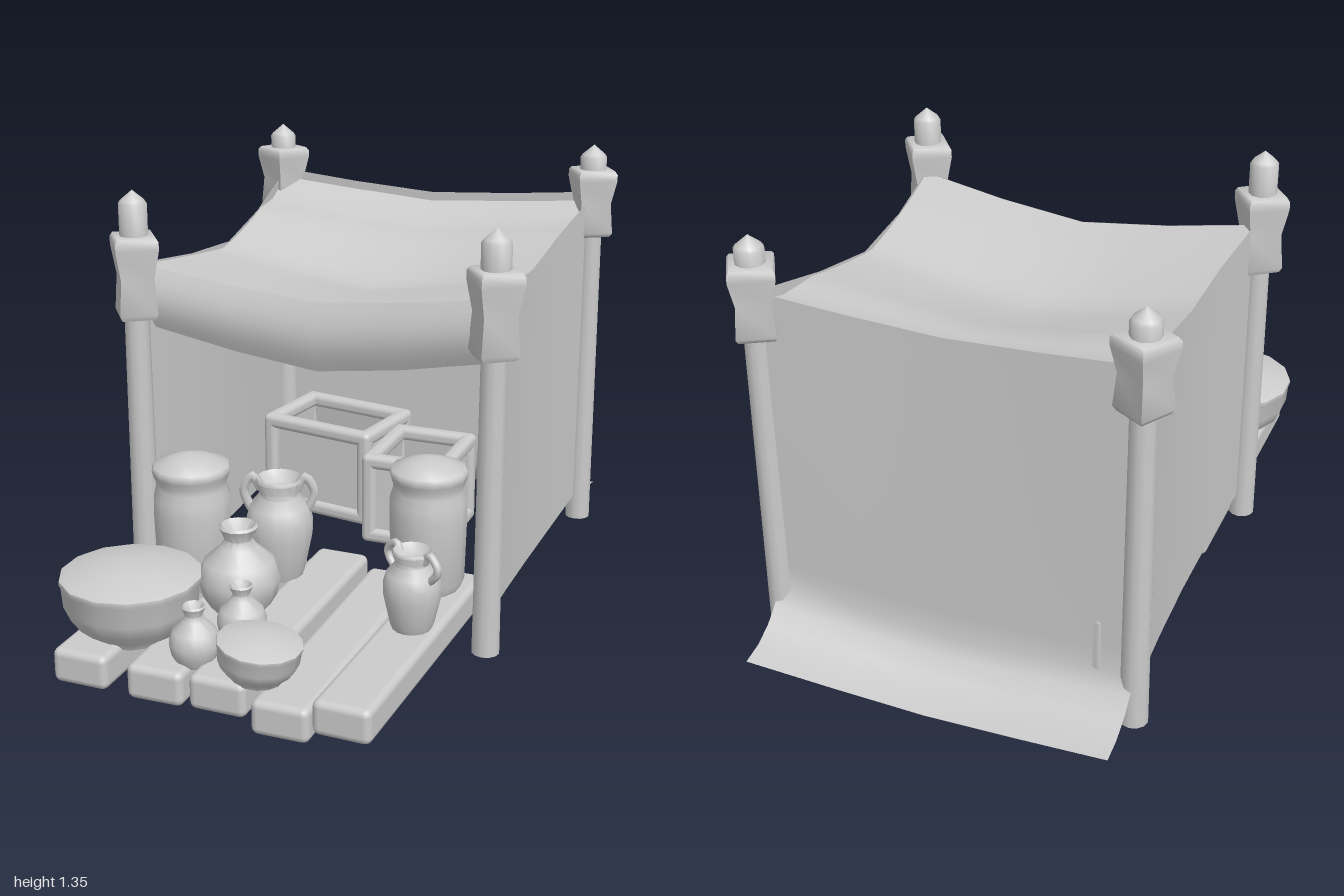
import * as THREE from 'three';
import { RoundedBoxGeometry } from 'three/addons/geometries/RoundedBoxGeometry.js';
import { toCreasedNormals } from 'three/addons/utils/BufferGeometryUtils.js';

const mat = new THREE.MeshStandardMaterial({ color: 0xcccccc });
const clothMat = new THREE.MeshStandardMaterial({ color: 0xcccccc, side: THREE.DoubleSide });

function add(parent, name, geo, x = 0, y = 0, z = 0, material = mat) {
  const m = new THREE.Mesh(geo, material);
  m.name = name;
  m.position.set(x, y, z);
  parent.add(m);
  return m;
}

function lathe(profile, sides, crease) {
  return toCreasedNormals(new THREE.LatheGeometry(profile.map(([r, h]) => new THREE.Vector2(r, h)), sides), crease);
}

// Cloth sheet: s runs -1..1 across, t runs 0..1 along
function sheet(parent, name, rule) {
  const geo = new THREE.PlaneGeometry(2, 1, 4, 16);
  const p = geo.attributes.position;
  for (let i = 0; i < p.count; i++) p.setXYZ(i, ...rule(p.getX(i), 0.5 - p.getY(i)));
  geo.computeVertexNormals();
  return add(parent, name, geo, 0, 0, 0, clothMat);
}

// Turned vessel from [radius, height] pairs
function pot(parent, name, x, y, z, profile, sides = 14) {
  const g = new THREE.Group();
  g.name = name;
  g.position.set(x, y, z);
  add(g, name + 'Body', lathe(profile, sides, 0.9), 0, 0, 0, clothMat);
  parent.add(g);
  return g;
}

// Pair of ear handles, mirrored
function handles(g, r, top, low, out) {
  for (const s of [-1, 1]) {
    const curve = new THREE.CatmullRomCurve3([
      [r * 0.55, top - 0.025], [r * 0.8, top + 0.005], [out, top - 0.025], [out * 0.97, low + 0.03], [r * 0.85, low],
    ].map(([a, b]) => new THREE.Vector3(s * a, b, 0)));
    add(g, 'handle', new THREE.TubeGeometry(curve, 14, 0.012, 6));
  }
}

function post(parent, x, z, capY, capH, top, turn) {
  const g = new THREE.Group();
  g.name = 'post';
  g.position.set(x, 0, z);
  add(g, 'pole', new THREE.CylinderGeometry(0.037, 0.042, capY, 12), 0, 0.04 + capY / 2, 0);
  // Square cap with a narrow waist
  const cap = [[0, 0], [0.07, 0], [0.08, 0.06], [0.07, 0.5], [0.09, 0.85], [0.09, 0.95], [0.08, 1], [0, 1]];
  add(g, 'cap', lathe(cap.map(([r, h]) => [r, h * capH]), 4, 1.1), 0, capY, 0).rotation.y = turn;
  const y0 = capY + capH - 0.02;
  const pin = [[0.043, 0], [0.043, top - 0.04 - y0], [0.036, top - 0.03 - y0], [0, top - y0]];
  add(g, 'pin', lathe(pin, 10, 0.9), 0, y0, 0);
  parent.add(g);
}

// Open crate: rail frames, corner rails, sloping walls
function crate(parent, x, z, w, d, h, turn) {
  const g = new THREE.Group();
  g.name = 'crate';
  g.position.set(x, 0.035, z);
  g.rotation.y = turn;
  const t = 0.05;
  const rail = (a, b, c, px, py, pz) => add(g, 'rail', new RoundedBoxGeometry(a, b, c, 3, 0.02), px, py, pz);
  for (const s of [-1, 1]) {
    for (const y of [t / 2, h - t / 2]) {
      rail(w, t, t, 0, y, s * (d - t) / 2);
      rail(t, t, d, s * (w - t) / 2, y, 0);
    }
    for (const sz of [-1, 1]) rail(t, h, t, s * (w - t) / 2, h / 2, sz * (d - t) / 2);
    add(g, 'wall', new THREE.BoxGeometry(w - t, h - t, 0.012), 0, h / 2, s * (d / 2 - 0.03)).rotation.x = -s * 0.06;
    add(g, 'wall', new THREE.BoxGeometry(0.012, h - t, d - t), s * (w / 2 - 0.03), h / 2, 0).rotation.z = s * 0.06;
  }
  add(g, 'crateFloor', new THREE.BoxGeometry(w - 0.07, 0.012, d - 0.07), 0, 0.13, 0);
  parent.add(g);
}

export function createModel() {
  const root = new THREE.Group();
  root.name = 'marketStall';

  // Corner posts
  for (const s of [-1, 1]) {
    post(root, s * 0.555, 0.33, 0.945, 0.25, s < 0 ? 1.33 : 1.31, -0.15);
    post(root, s * 0.555, -0.775, 1.05, 0.22, 1.35, -s * 0.25);
  }

  // Canopy cloths
  const droop = (s) => 1 - Math.abs(s) ** 1.3;
  const edgeX = (z) => 0.51 + 0.04 * Math.min(1, ((z + 0.2) / 0.5) ** 2);
  const edgeY = (z) => (z > -0.17 ? 1.05 + 0.055 * (z + 0.17) / 0.47 : 1.05 + 0.13 * ((-0.17 - z) / 0.61) ** 1.2);
  sheet(root, 'roof', (s, t) => {
    const z = -0.78 + 1.08 * t;
    const c = droop(s);
    const hollow = 0.03 * Math.sin(Math.PI * t) ** 2;
    const backDip = 0.035 * Math.max(0, 1 - Math.abs(t - 0.1) / 0.15);
    return [s * edgeX(z), edgeY(z) - 0.006 - backDip - (0.04 + 0.03 * t + hollow) * c, z - 0.03 * t * c];
  });
  sheet(root, 'frontValance', (s, t) => {
    const c = droop(s);
    return [s * (0.55 - 0.04 * t), 1.1 - 0.07 * c - t * (0.19 + 0.02 * c), 0.3 - 0.03 * c + 0.025 * Math.sin(t * Math.PI)];
  });
  sheet(root, 'backCloth', (s, t) => {
    const c = droop(s);
    const hang = Math.min(1, t / 0.75);
    const flare = Math.max(0, (t - 0.75) / 0.25);
    const y = (1.19 - 0.04 * c) * (1 - hang) + (0.21 - 0.04 * c) * hang;
    return [s * 0.557, y - 0.13 * Math.sin(flare * Math.PI / 2), -0.79 + 0.015 * c * (1 - t) - 0.21 * flare ** 1.4 + 0.02 * c * flare];
  });
  for (const side of [-1, 1]) {
    sheet(root, 'sideCloth', (s, t) => {
      const z = -0.22 + s * 0.5;
      const low = 0.09 + 0.04 * s * s;
      const x = edgeX(z) + (0.55 - edgeX(z)) * t * 0.3;
      return [side * x, edgeY(z) * (1 - t) + low * t, z];
    });
  }

  // Plank deck
  [[-0.44, 0.04, 0.01], [-0.215, 0.035, -0.01], [-0.015, 0.04, 0.01], [0.165, 0, 0], [0.357, 0.035, 0.03]].forEach(([x, y, turn]) => {
    const h = 0.105;
    add(root, 'plank', new RoundedBoxGeometry(0.172, h, 0.93, 2, 0.022), x, y + h / 2, 0.488).rotation.y = -turn;
  });

  // Crates at the back
  crate(root, -0.28, -0.6, 0.43, 0.32, 0.34, -0.17);
  crate(root, 0.075, -0.46, 0.3, 0.35, 0.315, 0);

  // Tall lidded jars
  const jar = [[0, 0], [0.1, 0], [0.113, 0.03], [0.118, 0.24], [0.117, 0.285], [0.108, 0.315], [0.108, 0.335], [0.116, 0.355],
    [0.12, 0.37], [0.114, 0.383], [0.06, 0.403], [0, 0.418]];
  pot(root, 'tallJar', -0.36, 0.14, 0.39, jar);
  pot(root, 'tallJar', 0.315, 0.14, 0.16, jar);

  // Lidded bowls
  const bowl = [[0, 0], [0.13, 0], [0.14, 0.02], [0.178, 0.055], [0.197, 0.1], [0.202, 0.16], [0.207, 0.17], [0.206, 0.18],
    [0.195, 0.185], [0.1, 0.207], [0, 0.22]];
  pot(root, 'bigBowl', -0.39, 0.125, 0.73, bowl);
  const small = pot(root, 'smallBowl', 0.065, 0.135, 0.87, bowl);
  small.scale.set(0.585, 0.6, 0.585);
  small.rotation.z = -0.12;

  // Narrow-necked bottles
  const bottle = [[0, 0], [0.05, 0], [0.066, 0.03], [0.073, 0.065], [0.062, 0.1], [0.032, 0.13], [0.024, 0.145],
    [0.034, 0.17], [0.03, 0.175], [0.012, 0.15], [0, 0.15]];
  pot(root, 'smallBottle', -0.06, 0.135, 0.69, bottle);
  pot(root, 'smallBottle', -0.135, 0.125, 0.84, bottle);
  pot(root, 'largeBottle', -0.16, 0.135, 0.49, bottle).scale.set(1.7, 1.5, 1.7);

  // Two-handled jugs
  const jug = [[0, 0], [0.058, 0], [0.066, 0.02], [0.084, 0.1], [0.085, 0.14], [0.075, 0.175], [0.052, 0.2], [0.05, 0.21],
    [0.06, 0.235], [0.056, 0.243], [0.035, 0.22], [0, 0.22]];
  const right = pot(root, 'rightJug', 0.365, 0.14, 0.445, jug);
  handles(right, 0.083, 0.24, 0.165, 0.1);
  right.rotation.y = -0.45;
  const back = pot(root, 'backJug', -0.135, 0.14, 0.25, jug);
  handles(back, 0.083, 0.24, 0.165, 0.088);
  back.scale.set(1.22, 1.32, 1.22);
  back.rotation.y = 0.3;

  return root;
}
